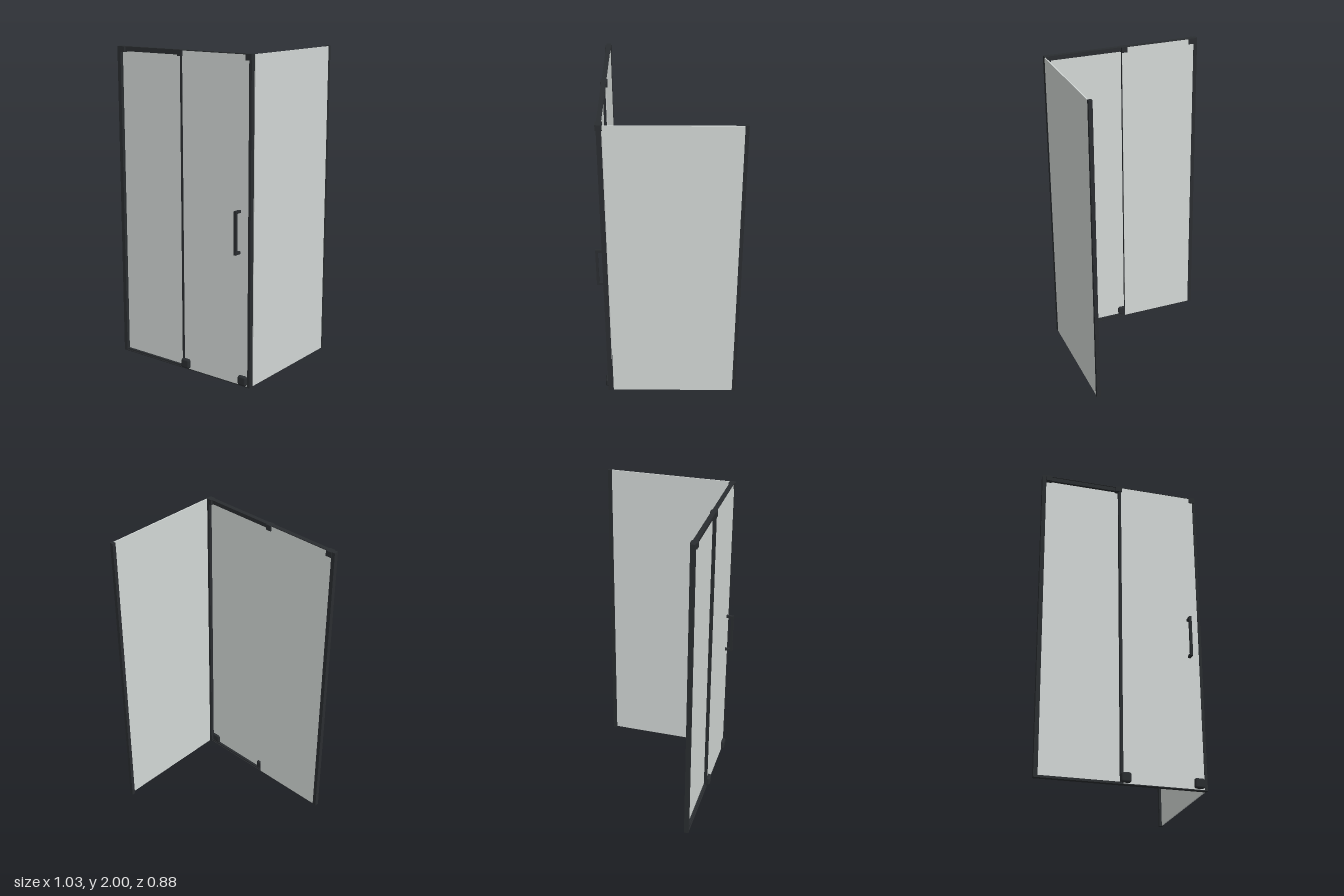
import * as THREE from 'three';
import { RoundedBoxGeometry } from 'three/addons/geometries/RoundedBoxGeometry.js';

const metal = new THREE.MeshStandardMaterial({ color: 0x2a2d30 });
const glass = new THREE.MeshStandardMaterial({ color: 0xd3d8d6 });

export function createModel() {
  const model = new THREE.Group();
  model.name = 'showerEnclosure';

  // Box given by its [min, max] extents; a radius rounds its edges
  const bar = (name, [x0, x1], [y0, y1], [z0, z1], material = metal, radius = 0) => {
    const size = [x1 - x0, y1 - y0, z1 - z0];
    const geometry = radius
      ? new RoundedBoxGeometry(...size, 3, radius)
      : new THREE.BoxGeometry(...size);
    const mesh = new THREE.Mesh(geometry, material);
    mesh.name = name;
    mesh.position.set((x0 + x1) / 2, (y0 + y1) / 2, (z0 + z1) / 2);
    model.add(mesh);
    return mesh;
  };

  // Glass: fixed front panel, sliding door in front of it, side panel
  bar('fixedPanel', [-0.495, 0.003], [0.004, 1.996], [0.366, 0.37], glass);
  bar('slidingDoor', [-0.005, 0.495], [0.005, 1.996], [0.386, 0.39], glass);
  bar('sidePanel', [0.504, 0.511], [0.005, 1.997], [-0.425, 0.358], glass);

  // Upright profiles
  bar('wallPost', [-0.515, -0.49], [0, 2], [0.364, 0.392]);
  bar('cornerPost', [0.493, 0.511], [0, 2], [0.364, 0.392]);
  bar('rearWallPost', [0.489, 0.512], [0, 2], [-0.44, -0.418]);
  bar('centreSeal', [-0.012, 0.004], [0, 2], [0.372, 0.392]);

  // Top rail with a thin cap over both panes
  bar('topRail', [-0.5, 0.5], [1.97, 2], [0.37, 0.386]);
  bar('topRailCap', [-0.5, 0.5], [1.996, 2], [0.364, 0.392]);

  // Bottom track with a thin sill under both panes
  bar('bottomTrack', [-0.5, 0.5], [0, 0.015], [0.37, 0.386]);
  bar('bottomSill', [-0.5, 0.5], [0, 0.005], [0.364, 0.392]);

  // Rail brackets
  for (const x of [-0.473, -0.011, 0.489]) {
    bar('railBracket', [x - 0.019, x + 0.019], [1.964, 2], [0.358, 0.398]);
  }

  // Rounded guide blocks at the foot of the door
  for (const x of [0.018, 0.46]) {
    bar('doorGuide', [x - 0.03, x + 0.03], [0.01, 0.07], [0.372, 0.411], metal, 0.012);
  }

  // Door handle: grip on two stubs
  bar('handleGrip', [0.422, 0.438], [0.832, 1.097], [0.423, 0.438]);
  for (const y of [0.84, 1.089]) {
    bar('handleStub', [0.422, 0.438], [y - 0.008, y + 0.008], [0.388, 0.425]);
  }

  return model;
}
